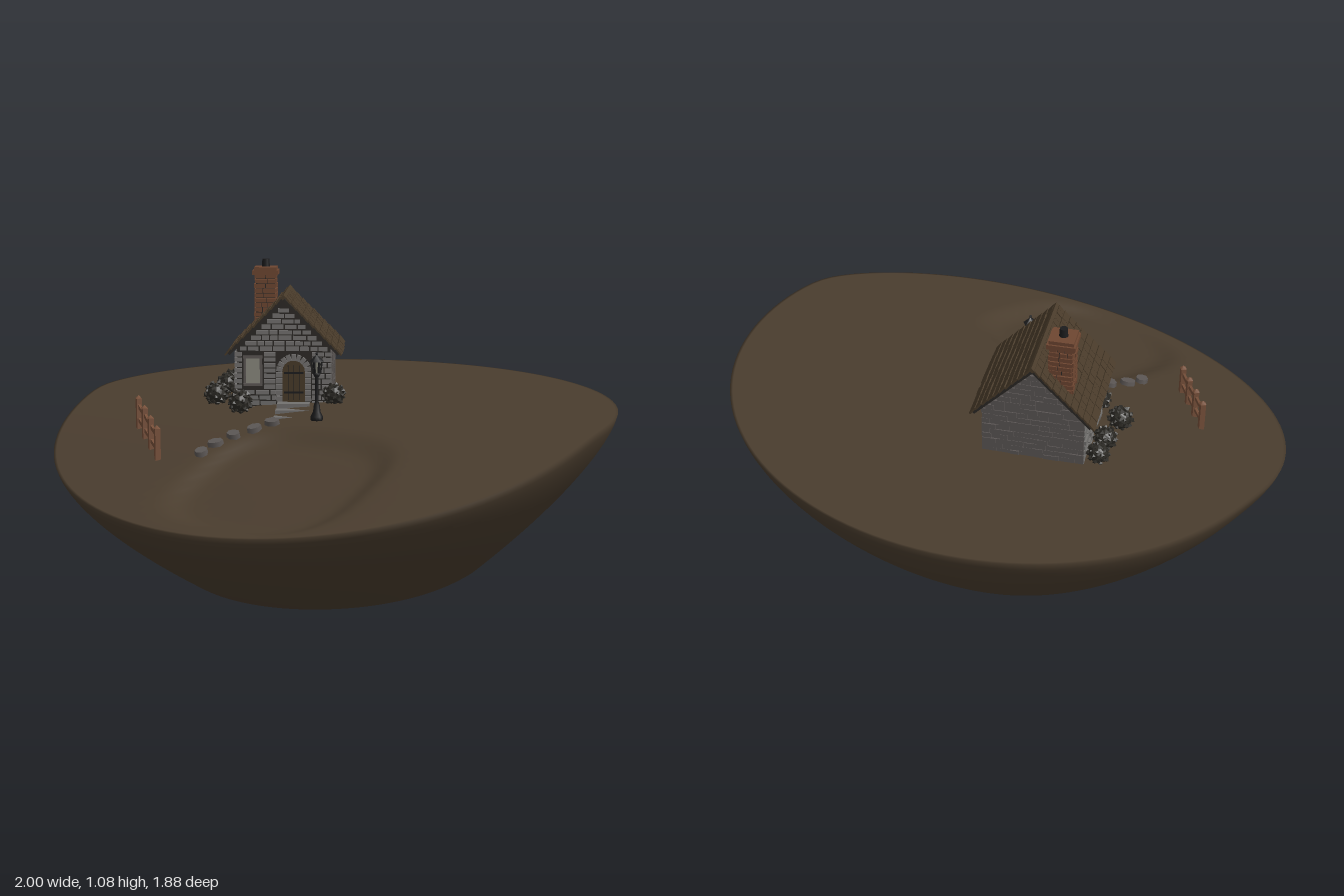
import * as THREE from 'three';
import { mergeGeometries } from 'three/addons/utils/BufferGeometryUtils.js';

const mat = (name, color, extra = {}) => {
  const m = new THREE.MeshStandardMaterial({ color, ...extra });
  m.name = name;
  return m;
};

let seed = 7;
const rnd = (a = 0, b = 1) => {
  seed = (seed * 16807) % 2147483647;
  return a + (b - a) * (seed / 2147483647);
};

// Height of the ground: nearly level at the back, sloping down at the front, with a shallow basin
const soft = d => (d + Math.sqrt(d * d + 0.006)) / 2;
const ground = (x, z) => {
  const d = Math.hypot(Math.abs((x - 0.12) / 0.34) ** 1.5, Math.abs((z - 0.55) / 0.34) ** 1.5);
  return 0.608 - 0.03 * z - 0.27 * soft(z - 0.05) - 0.03 * (1 - THREE.MathUtils.smoothstep(d, 0.65, 1.05));
};
const underside = z => 0.07 - 0.01 * z - 0.125 * soft(z - 0.07);

function box(w, h, d, x, y, z, ry = 0, rz = 0) {
  return new THREE.BoxGeometry(w, h, d).rotateZ(rz).rotateY(ry).translate(x, y, z);
}
function add(parent, name, material, geos) {
  const mesh = new THREE.Mesh(Array.isArray(geos) ? mergeGeometries(geos) : geos, material);
  mesh.name = name;
  parent.add(mesh);
  return mesh;
}

// Rows of blocks on a wall; holes are [x0, x1, y0, y1]
function courses({ y0, y1, row, width, gap, depth, half, holes = [], offset, angle, cx = 0, cz = 0 }) {
  const out = [];
  for (let y = y0; y + row <= y1 + 1e-6; y += row) {
    const h = half(y + row);
    if (h < 0.012) continue;
    let spans = [[-h, h]];
    for (const [a, b, c, d] of holes) {
      if (y + row < c + 0.004 || y > d - 0.004) continue;
      spans = spans.flatMap(([s, e]) => [[s, Math.min(e, a)], [Math.max(s, b), e]]).filter(([s, e]) => e - s > 0.006);
    }
    for (const [s, e] of spans) {
      let u = s;
      while (u < e - 1e-4) {
        let w = width * rnd(0.65, 1.35);
        if (u + w > e - width * 0.4) w = e - u;
        const d = depth * rnd(0.6, 1.2);
        out.push(box(w - gap, row - gap, d, u + w / 2, y + row / 2, offset + d / 2).rotateY(angle).translate(cx, 0, cz));
        u += w;
      }
    }
  }
  return out;
}

function island(material) {
  const seg = 128, top = 64, wall = 20, pos = [], idx = [];
  for (let i = 0; i <= top + wall; i++) {
    const t = Math.max(0, (i - top) / wall);
    const r = i < top ? Math.min(i / (top - 1), 1) * 0.99 : 1;
    const k = t ** 1.35;
    for (let j = 0; j < seg; j++) {
      const a = (j / seg) * Math.PI * 2, c = Math.cos(a), s = Math.sin(a);
      const x = c * r * (1 - 0.45 * k);
      const z = 0.015 * k + s * r * (0.938 - 0.433 * k);
      const y = t > 0 ? THREE.MathUtils.lerp(ground(c, s * 0.938), underside(0.015 + s * 0.505), t) : ground(x, z);
      pos.push(x, y, z);
      if (i < top + wall) {
        const p = i * seg + j, q = i * seg + (j + 1) % seg;
        idx.push(p, q + seg, p + seg, p, q, q + seg);
      }
    }
  }
  const g = new THREE.BufferGeometry();
  g.setAttribute('position', new THREE.Float32BufferAttribute(pos, 3));
  g.setIndex(idx);
  g.computeVertexNormals();
  return new THREE.Mesh(g, material);
}

export function createModel() {
  seed = 7;
  const earth = mat('earth', 0x4a3d2e, { side: THREE.DoubleSide });
  const stone = mat('light stone', 0x73716f);
  const grey = mat('grey stone', 0x5c5755);
  const mortar = mat('dark mortar', 0x2c2926);
  const shingle = mat('shingle brown', 0x483a29);
  const brick = mat('brick', 0x6e4631);
  const wood = mat('fence wood', 0x77503a);
  const iron = mat('black iron', 0x1c1c1d);
  const leaf = mat('dark leaf', 0x2b2924, { flatShading: true });
  const glass = mat('window glass', 0x8b8a7e);

  const model = new THREE.Group();
  model.name = 'cottageIsland';
  const land = island(earth);
  land.name = 'island';
  model.add(land);

  // Cottage walls
  const house = new THREE.Group();
  house.name = 'cottage';
  house.position.set(-0.26, 0, -0.115);
  house.rotation.y = 0.49;
  model.add(house);
  const W = 0.165, apex = 0.968, base = 0.572;
  const gable = new THREE.Shape([[-W, base], [W, base], [W, apex - W], [0, apex], [-W, apex - W]].map(p => new THREE.Vector2(...p)));
  const ext = depth => ({ depth, bevelEnabled: false });
  add(house, 'wallCore', grey, new THREE.ExtrudeGeometry(gable, ext(2 * W)).translate(0, 0, -W));
  add(house, 'frontMortar', mortar, new THREE.ExtrudeGeometry(gable, ext(0.003)).translate(0, 0, W));
  add(house, 'sideMortar', mortar, box(0.003, apex - W - base, 2 * W, -W - 0.0015, (apex - W + base) / 2, 0));
  const doorX = 0.035, spring = 0.715;
  const gableHalf = y => Math.min(W + 0.006, apex - 0.004 - y);
  const common = { y0: base, row: 0.0195, width: 0.04, depth: 0.011 };
  add(house, 'frontStones', stone, courses({ ...common, y1: apex, gap: 0.005, half: gableHalf, offset: W, angle: 0,
    holes: [[doorX - 0.062, doorX + 0.062, 0, 0.775], [-0.147, -0.073, 0.66, 0.775]] }));
  add(house, 'sideStones', stone, courses({ ...common, y1: 0.805, gap: 0.005, half: () => W + 0.006, offset: W, angle: -Math.PI / 2,
    holes: [[-0.047, 0.027, 0.66, 0.775]] }));
  add(house, 'plainStones', grey, [
    ...courses({ ...common, y1: apex, gap: 0.001, depth: 0.007, half: gableHalf, offset: W, angle: Math.PI }),
    ...courses({ ...common, y1: 0.805, gap: 0.001, depth: 0.007, half: () => W + 0.004, offset: W, angle: Math.PI / 2 })]);

  // Arched door with stone surround and iron straps
  const arch = new THREE.Shape();
  arch.moveTo(-0.04, 0.605).lineTo(0.04, 0.605).lineTo(0.04, spring);
  arch.absarc(0, spring, 0.04, 0, Math.PI, false);
  add(house, 'door', shingle, new THREE.ExtrudeGeometry(arch, ext(0.006)).translate(doorX, 0, W));
  add(house, 'doorStraps', iron, [
    ...[0.64, 0.71].map(y => box(0.07, 0.006, 0.003, doorX, y, W + 0.007)),
    ...[-0.02, 0, 0.02].map(x => box(0.002, 0.125, 0.002, doorX + x, 0.675, W + 0.0065))]);
  const surround = [];
  for (let i = 0; i < 9; i++) {
    const a = ((i + 0.5) / 9) * Math.PI;
    surround.push(box(0.022, 0.015, 0.017, doorX + Math.cos(a) * 0.051, spring + Math.sin(a) * 0.051, W + 0.008, 0, a));
  }
  for (const s of [-1, 1]) for (let i = 0; i < 5; i++)
    surround.push(box(0.022, 0.018, 0.017, doorX + s * 0.051, 0.618 + i * 0.0215, W + 0.008));
  add(house, 'doorSurround', stone, surround);

  // Windows
  for (const [u, angle] of [[-0.11, 0], [-0.01, -Math.PI / 2]]) {
    const win = new THREE.Group();
    win.name = 'window';
    win.rotation.y = angle;
    house.add(win);
    add(win, 'pane', glass, box(0.054, 0.09, 0.006, u, 0.718, W + 0.004));
    add(win, 'windowFrame', grey, [
      ...[-1, 1].map(s => box(0.008, 0.1, 0.016, u + s * 0.029, 0.718, W + 0.008)),
      ...[-1, 1].map(s => box(0.068, 0.009, 0.018, u, 0.718 + s * 0.049, W + 0.009))]);
  }

  // Roof: two dark slabs covered by overlapping shingle rows
  const slope = Math.PI / 4, len = 0.283, slabs = [], tiles = [];
  for (const s of [-1, 1]) {
    const place = g => g.rotateZ(-s * slope).translate(0, 0.973, 0);
    slabs.push(place(box(len - 0.008, 0.01, 0.382, s * (len - 0.008) / 2, 0, 0)));
    for (let r = 0; r < 10; r++) {
      let z = -0.195;
      while (z < 0.1949) {
        let w = rnd(0.022, 0.045);
        if (z + w > 0.18) w = 0.195 - z;
        const l = 0.028 + rnd(0, 0.005);
        tiles.push(place(box(l, 0.006, w - 0.002, s * (r * 0.0283 + l / 2), 0, 0, 0, -s * 0.12)
          .translate(0, 0.007 + rnd(0, 0.002), z + w / 2)));
        z += w;
      }
    }
  }
  add(house, 'roofBoards', mortar, slabs);
  add(house, 'roofShingles', shingle, tiles);
  add(house, 'roofRidge', shingle, box(0.016, 0.012, 0.39, 0, 0.98, 0, 0, Math.PI / 4));

  // Chimney
  const cx = -0.082, cz = -0.1;
  add(house, 'chimneyCore', mortar, box(0.07, 0.25, 0.07, cx, 0.925, cz));
  const bricks = [0, 1, 2, 3].flatMap(i => courses({ y0: 0.83, y1: 1.04, row: 0.0175, width: 0.034, gap: 0.003, depth: 0.006,
    half: () => 0.038, offset: 0.035, angle: i * Math.PI / 2, cx, cz }));
  bricks.push(box(0.094, 0.016, 0.094, cx, 1.045, cz), box(0.082, 0.012, 0.082, cx, 1.059, cz));
  add(house, 'chimneyBricks', brick, bricks);
  add(house, 'chimneyPot', iron, new THREE.CylinderGeometry(0.013, 0.015, 0.03, 12).translate(cx, 1.078, cz));

  // Front steps
  add(house, 'steps', stone, [0, 1, 2].map(i => box(0.115 + i * 0.006, 0.05, 0.046, doorX, 0.582 - i * 0.016, 0.2 + i * 0.045)));

  // Stepping stones
  const path = [[-0.123, 0.205], [-0.16, 0.262], [-0.207, 0.32], [-0.236, 0.388], [-0.247, 0.457]];
  add(model, 'pathStones', grey, path.map(([x, z], i) => new THREE.CylinderGeometry(0.026, 0.029, 0.028, 7)
    .scale(1.05, 1, 0.85).rotateY(i * 1.3).rotateX(0.25).translate(x, ground(x, z) + 0.002, z)));

  // Fence
  const posts = [0, 1, 2, 3].map(i => {
    const x = -0.6 + i * 0.073, z = 0.332 + i * 0.064;
    return new THREE.Vector3(x, ground(x, z), z);
  });
  const fence = posts.map(p => box(0.022, 0.125, 0.018, p.x, p.y + 0.043, p.z, -0.72));
  posts.forEach(p => fence.push(new THREE.ConeGeometry(0.0145, 0.012, 4).rotateY(0.065).translate(p.x, p.y + 0.111, p.z)));
  for (let i = 0; i < 3; i++) for (const h of [0.032, 0.08]) {
    const a = posts[i], b = posts[i + 1], tilt = rnd(-0.06, 0.06);
    const run = Math.hypot(b.x - a.x, b.z - a.z);
    fence.push(box(run + 0.012, 0.014, 0.009, (a.x + b.x) / 2, (a.y + b.y) / 2 + h, (a.z + b.z) / 2,
      -Math.atan2(b.z - a.z, b.x - a.x), Math.atan2(b.y - a.y, run) + tilt));
  }
  add(model, 'fence', wood, fence);

  // Lamp post
  const lamp = new THREE.Group();
  lamp.name = 'lampPost';
  lamp.position.set(0.021, ground(0.021, 0.145), 0.145);
  model.add(lamp);
  const pole = [[0, 0], [0.021, 0], [0.021, 0.014], [0.013, 0.03], [0.01, 0.055], [0.006, 0.065], [0.006, 0.15], [0.011, 0.156], [0.014, 0.166], [0, 0.166]];
  add(lamp, 'lampPole', iron, new THREE.LatheGeometry(pole.map(p => new THREE.Vector2(...p)), 12));
  add(lamp, 'lampGlass', glass, new THREE.CylinderGeometry(0.016, 0.011, 0.04, 6).translate(0, 0.186, 0));
  const cage = [new THREE.ConeGeometry(0.026, 0.024, 6).translate(0, 0.217, 0), new THREE.SphereGeometry(0.005, 8, 6).translate(0, 0.232, 0)];
  for (let i = 0; i < 6; i++)
    cage.push(box(0.006, 0.042, 0.006, 0.0155, 0.186, 0, 0, -0.12).rotateY(i * Math.PI / 3 + Math.PI / 6));
  add(lamp, 'lampCage', iron, cage);

  // Bushes: clumps of small leaves around a rough ball
  const bushes = [[-0.51, -0.13, 0.04], [-0.475, -0.05, 0.042], [-0.435, 0.085, 0.045], [-0.3, 0.138, 0.045], [-0.017, -0.04, 0.042]];
  const clumps = [];
  for (const [x, z, r] of bushes) {
    const y = ground(x, z) + r * 0.75;
    clumps.push(new THREE.IcosahedronGeometry(r * 0.85, 1).translate(x, y, z));
    for (let i = 0; i < 40; i++) {
      const v = 1 - 2 * (i + 0.5) / 40, a = i * 2.4, h = Math.sqrt(1 - v * v);
      clumps.push(new THREE.OctahedronGeometry(r * rnd(0.16, 0.27)).rotateX(rnd(0, 3)).rotateY(rnd(0, 3))
        .translate(x + Math.cos(a) * h * r * 0.86, y + v * r * 0.86, z + Math.sin(a) * h * r * 0.86));
    }
  }
  add(model, 'bushes', leaf, clumps);
  return model;
}
